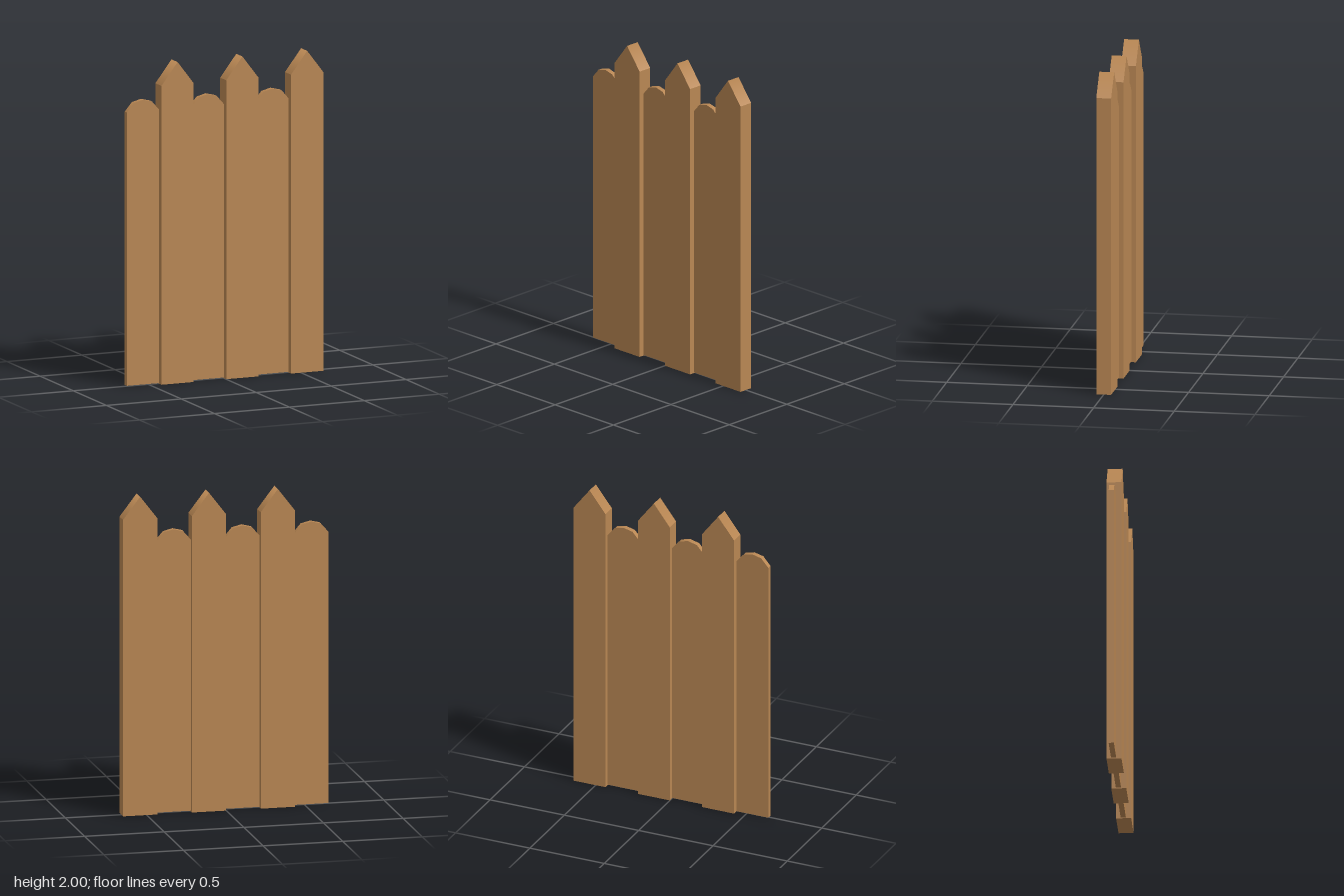
import * as THREE from 'three';

const wood = new THREE.MeshStandardMaterial({ color: 0xb98753 });
wood.name = 'warm wood';

const HALF = 0.1075; // half the width of every board

// Upright board: top is a list of [x, y] from right to left; lean is the tilt of the top's normals at its ends
function board(name, x, bottom, top, zBack, zFront, lean) {
  const shape = new THREE.Shape();
  shape.moveTo(-HALF, bottom);
  shape.lineTo(HALF, bottom);
  top.forEach(([px, py]) => shape.lineTo(px, py));
  shape.closePath();
  const geometry = new THREE.ExtrudeGeometry(shape, { depth: zFront - zBack, bevelEnabled: false });
  geometry.translate(0, 0, zBack);

  // Shade the top edge smoothly from side to side
  const position = geometry.attributes.position;
  const normal = geometry.attributes.normal;
  for (let i = 0; i < position.count; i++) {
    if (normal.getY(i) < 0.1) continue;
    const tilt = lean * position.getX(i) / HALF;
    normal.setXYZ(i, Math.sin(tilt), Math.cos(tilt), 0);
  }
  const mesh = new THREE.Mesh(geometry, wood);
  mesh.name = name;
  mesh.position.x = x;
  return mesh;
}

export function createModel() {
  const fence = new THREE.Group();
  fence.name = 'fence';

  const pointedTop = [[HALF, 1.86], [0, 2], [-HALF, 1.86]];
  const roundedTop = [[HALF, 1.707], [0.06, 1.762], [0, 1.777], [-0.06, 1.762], [-HALF, 1.707]];

  // Thin rounded boards alternate with thick pointed pickets
  for (let i = 0; i < 3; i++) {
    const x = -0.541 + i * 0.4325;
    fence.add(board('roundedBoard' + (i + 1), x, 0.005, roundedTop, -0.018, 0.014, 0.8));
    fence.add(board('pointedPicket' + (i + 1), x + 0.217, 0, pointedTop, -0.046, 0.046, 0.92));
  }
  return fence;
}
